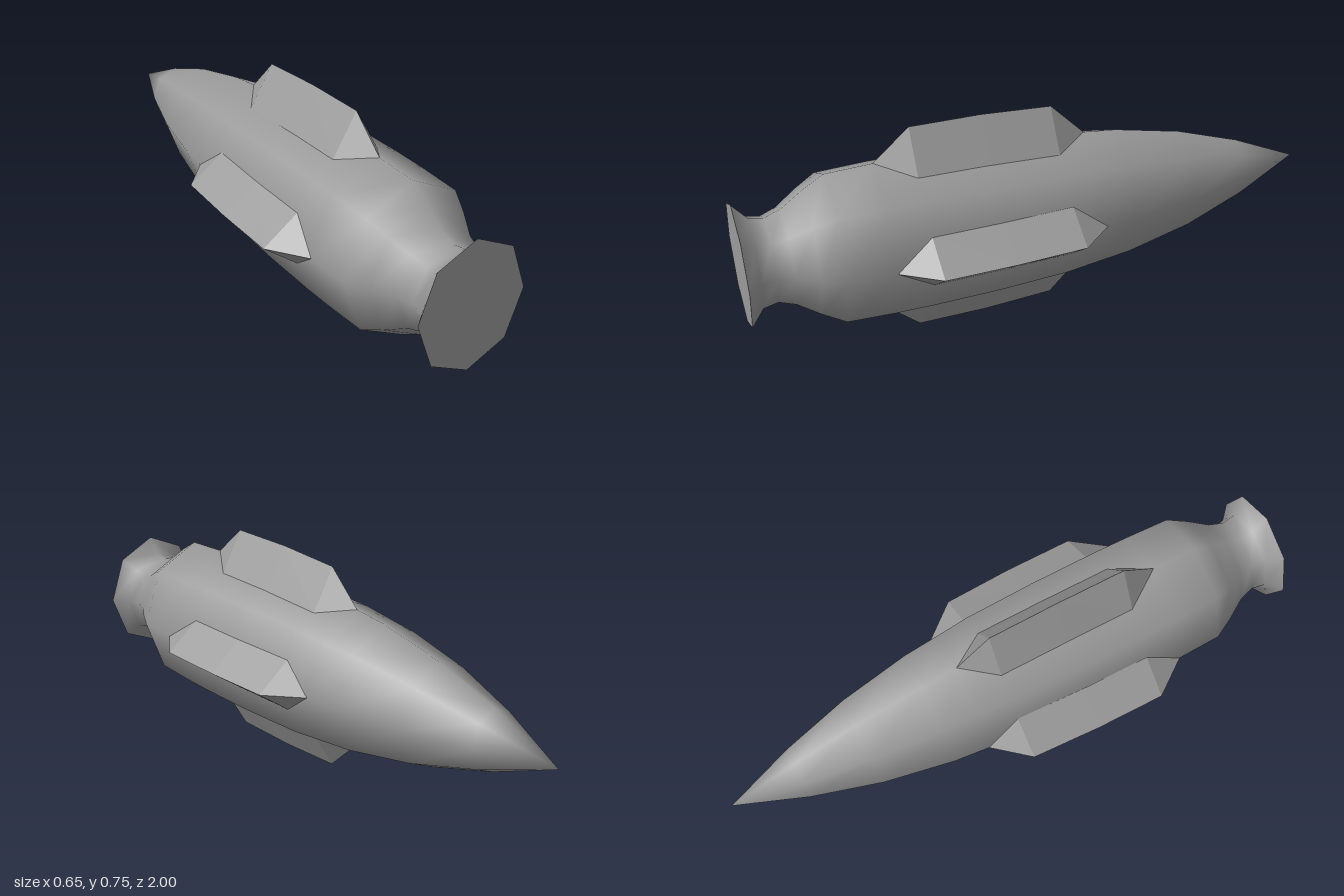
import * as THREE from 'three';

const CENTRE_Y = 0.375;
const SQUASH = 0.88; // body width relative to its height
const GREY = 0x9b9b9b;
const material = new THREE.MeshStandardMaterial({ color: GREY });
const flatMaterial = new THREE.MeshStandardMaterial({ color: GREY, flatShading: true });

// Faceted fin along z, rising in +y: three cross-sections closed by a point at each end.
// rows: [z, base height, ridge height]; tips: [z, height]
function finGeometry(halfWidth, rows, frontTip, backTip) {
  const positions = [];
  const quad = (a, b, c, d) => positions.push(...a, ...b, ...c, ...a, ...c, ...d);
  const tri = (a, b, c) => positions.push(...a, ...b, ...c);
  const sections = rows.map(([z, base, ridge]) => [
    [-halfWidth, base, z], [0, ridge, z], [halfWidth, base, z],
  ]);
  const front = [0, frontTip[1], frontTip[0]];
  const back = [0, backTip[1], backTip[0]];
  const first = sections[0];
  const last = sections[sections.length - 1];
  for (let side = 0; side < 2; side++) {
    tri(front, first[side + 1], first[side]);
    for (let i = 0; i < sections.length - 1; i++) {
      const a = sections[i], b = sections[i + 1];
      quad(a[side], a[side + 1], b[side + 1], b[side]);
    }
    tri(last[side], last[side + 1], back);
  }
  const geometry = new THREE.BufferGeometry();
  geometry.setAttribute('position', new THREE.Float32BufferAttribute(positions, 3));
  geometry.computeVertexNormals();
  return geometry;
}

// Eight-sided body, from the pointed nose (-z) to the flared nozzle (+z): [radius, z]
function bodyGeometry() {
  const profile = [
    [0, -1], [0.105, -0.76], [0.182, -0.527], [0.233, -0.286], [0.246, -0.168],
    [0.26, -0.05], [0.27, 0.2], [0.272, 0.43], [0.27, 0.553], [0.264, 0.71],
    [0.22, 0.783], [0.17, 0.853], [0.15, 0.906], [0.16, 0.955], [0.215, 1],
  ].map(([r, z]) => new THREE.Vector2(r, z));
  const geometry = new THREE.LatheGeometry(profile, 8).rotateX(Math.PI / 2);
  // Shade the nose as rounded: normals at the tip point straight ahead
  const { position, normal } = geometry.attributes;
  for (let i = 0; i < position.count; i++) {
    if (position.getZ(i) < -0.99) normal.setXYZ(i, 0, 0, -1);
  }
  return geometry;
}

export function createModel() {
  const model = new THREE.Group();
  model.name = 'finnedRocket';

  const body = new THREE.Mesh(bodyGeometry(), material);
  body.name = 'body';

  // Flat disc closing the nozzle
  const nozzleCap = new THREE.Mesh(new THREE.CircleGeometry(0.215, 8), material);
  nozzleCap.name = 'nozzleCap';
  nozzleCap.position.z = 1;

  const hull = new THREE.Group();
  hull.name = 'hull';
  hull.scale.x = SQUASH;
  hull.position.y = CENTRE_Y;
  hull.add(body, nozzleCap);
  model.add(hull);

  // Four fins: taller, narrower pair above and below, shorter pair at the sides
  const uprightFin = finGeometry(0.083,
    [[0.43, 0.231, 0.375], [0.19, 0.229, 0.375], [-0.05, 0.219, 0.362]],
    [0.553, 0.27], [-0.168, 0.246]);
  const sideFin = finGeometry(0.0925,
    [[0.43, 0.201, 0.327], [0.19, 0.199, 0.326], [-0.05, 0.191, 0.315]],
    [0.553, 0.238], [-0.168, 0.216]);
  ['topFin', 'leftFin', 'bottomFin', 'rightFin'].forEach((name, i) => {
    const fin = new THREE.Mesh(i % 2 ? sideFin : uprightFin, flatMaterial);
    fin.name = name;
    fin.position.y = CENTRE_Y;
    fin.rotation.z = -i * Math.PI / 2;
    model.add(fin);
  });

  return model;
}
